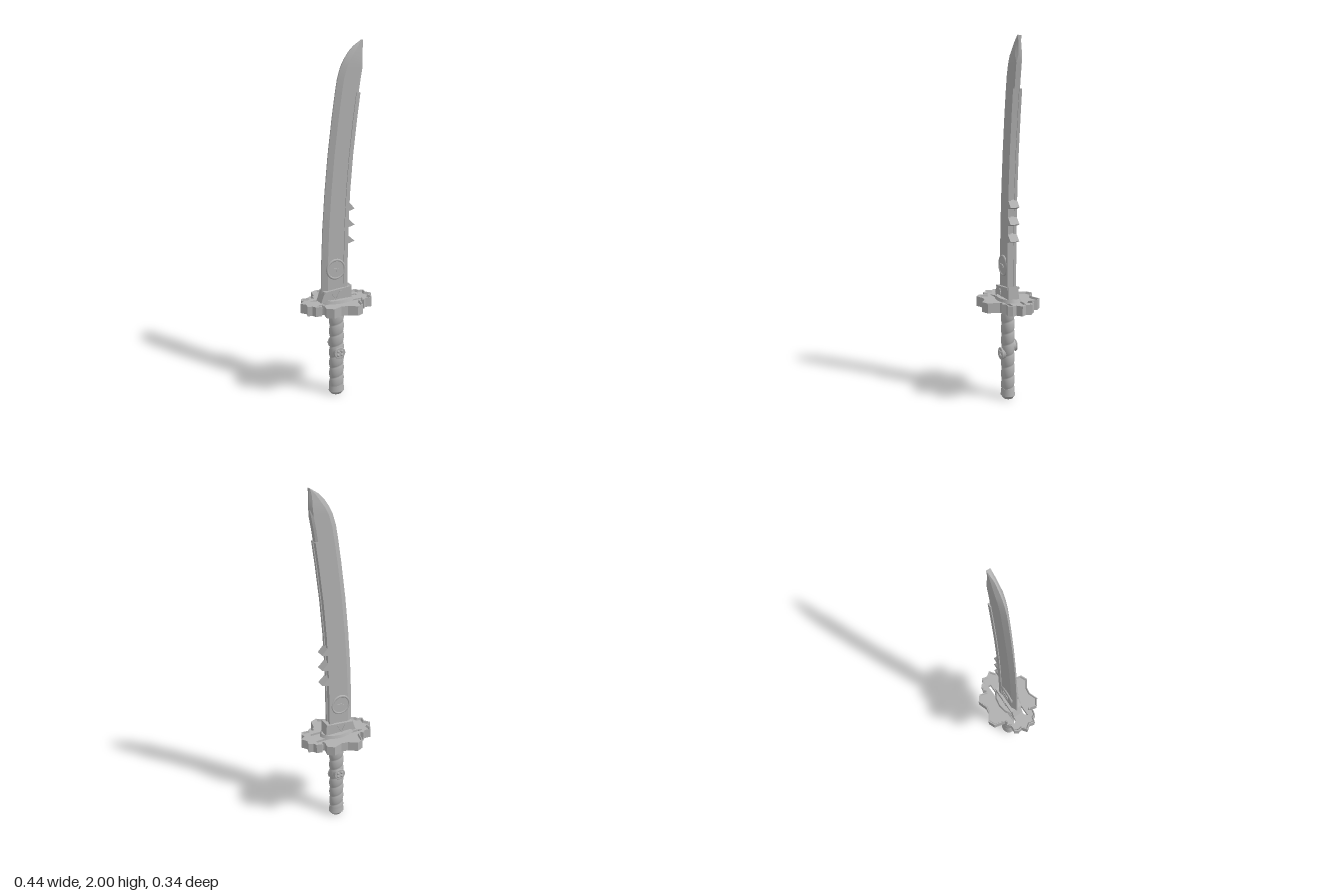
import * as THREE from 'three';
import { toCreasedNormals } from 'three/addons/utils/BufferGeometryUtils.js';

const steel = new THREE.MeshStandardMaterial({ color: 0xb0b0b0 });
steel.name = 'grey steel';

// Skin a stack of equal-length rings of [x, y, z] points, hard edged
function loft(rings, capped = true) {
  const n = rings[0].length, pos = [];
  const tri = (a, b, c) => pos.push(...a, ...b, ...c);
  for (let i = 0; i < rings.length - 1; i++) {
    for (let j = 0; j < n; j++) {
      const k = (j + 1) % n, lo = rings[i], hi = rings[i + 1];
      tri(lo[j], lo[k], hi[j]);
      tri(lo[k], hi[k], hi[j]);
    }
  }
  if (capped) {
    const bottom = rings[0], top = rings[rings.length - 1];
    for (let j = 1; j < n - 1; j++) {
      tri(bottom[0], bottom[j + 1], bottom[j]);
      tri(top[0], top[j], top[j + 1]);
    }
  }
  const g = new THREE.BufferGeometry();
  g.setAttribute('position', new THREE.Float32BufferAttribute(pos, 3));
  g.computeVertexNormals();
  return toCreasedNormals(g, 0.4);
}

function shapeOf(points) {
  return new THREE.Shape(points.map(([x, y]) => new THREE.Vector2(x, y)));
}

// Flat slab centred on z = 0 from an x-y outline
function slab(points, depth) {
  const g = new THREE.ExtrudeGeometry(shapeOf(points), { depth, bevelEnabled: false });
  return g.translate(0, 0, -depth / 2);
}

export function createModel() {
  const model = new THREE.Group();
  model.name = 'sword';
  const add = (name, geometry, parent = model) => {
    const mesh = new THREE.Mesh(geometry, steel);
    mesh.name = name;
    parent.add(mesh);
    return mesh;
  };

  // Blade: height, cutting edge x, spine x
  const rows = [
    [0.6, -0.095, 0.05], [0.8, -0.093, 0.052], [1, -0.085, 0.056], [1.2, -0.071, 0.066],
    [1.4, -0.052, 0.083], [1.6, -0.027, 0.107], [1.73, -0.008, 0.125], [1.8, 0.004, 0.136],
    [1.86, 0.022, 0.147], [1.9, 0.042, 0.152], [1.94, 0.07, 0.152], [1.97, 0.1, 0.152],
    [2, 0.147, 0.152],
  ];
  add('blade', loft(rows.map(([y, l, r]) => {
    const w = r - l, bevel = Math.min(0.03, w * 0.4), back = Math.min(0.012, w * 0.2);
    const t = y > 1.9 ? 0.021 - (y - 1.9) * 0.1 : 0.021;
    const s = y > 1.87 ? 0.006 : 0.015;
    return [[r, y, s], [r, y, -s], [r - back, y, -t], [l + bevel, y, -t],
      [l, y, -0.004], [l, y, 0.004], [l + bevel, y, t], [r - back, y, t]];
  })));

  // Grooved rail along the spine
  add('spineRail', loft(rows.slice(0, 7).map(([y, , r]) => [
    [r - 0.018, y, 0.026], [r + 0.005, y, 0.026], [r + 0.005, y, 0.01], [r - 0.004, y, 0.01],
    [r - 0.004, y, -0.01], [r + 0.005, y, -0.01], [r + 0.005, y, -0.026], [r - 0.018, y, -0.026],
  ])));

  // Three barbs on the spine
  [0.915, 1.008, 1.1].forEach((y, i) => {
    const x = 0.052 + i * 0.004;
    add('spineBarb', slab([[x, y - 0.012], [0.1, y], [x, y + 0.043]], 0.052));
  });

  // Round emblem on both faces of the blade, and a smaller one on the grip
  function emblem(name, radius, x, y, z, side) {
    const g = new THREE.Group();
    g.name = name;
    add('emblemRing', new THREE.TorusGeometry(radius * 0.88, radius * 0.12, 8, 32), g);
    add('emblemDisc', new THREE.CylinderGeometry(radius * 0.85, radius * 0.85, 0.008, 32).rotateX(Math.PI / 2), g);
    const star = slab([[-0.45, 0.15], [-0.1, -0.02], [0.08, -0.22], [0.14, -0.04], [0.45, -0.1],
      [0.12, 0.08], [0, 0.12]].map(([a, b]) => [a * radius, b * radius]), 0.008);
    add('emblemMark', star, g).position.z = 0.004;
    g.position.set(x, y, z * side);
    if (side < 0) g.rotation.y = Math.PI;
    model.add(g);
    return g;
  }
  for (const side of [1, -1]) {
    emblem('bladeEmblem', 0.06, -0.015, 0.765, 0.022, side);
    const y = side > 0 ? 0.265 : 0.305;
    const knot = emblem('gripEmblem', 0.035, 0, y, 0.043, side);
    add('emblemBase', new THREE.CylinderGeometry(0.03, 0.034, 0.02, 20).rotateX(Math.PI / 2), knot).position.z = -0.009;
    for (let i = 0; i < 4; i++) {
      const a = i * Math.PI / 2 + Math.PI / 4;
      add('emblemPetal', new THREE.SphereGeometry(0.009, 10, 6), knot)
        .position.set(Math.cos(a) * 0.016, Math.sin(a) * 0.016, 0.002);
    }
  }

  // Collar at the foot of the blade, with raised trim
  add('collar', slab([[-0.11, 0.58], [0.082, 0.58], [0.078, 0.662], [0.066, 0.655], [-0.088, 0.642]], 0.062));
  add('collarBand', slab([[-0.089, 0.63], [0.078, 0.645], [0.078, 0.657], [-0.087, 0.642]], 0.072));
  for (const [a, b] of [[-0.045, -0.018], [0.008, -0.018]]) {
    add('collarTrim', slab([[b - 0.005, 0.59], [b + 0.005, 0.59], [a + 0.005, 0.637], [a - 0.005, 0.637]]
      , 0.07));
  }

  // Guard outline: half of it, then the same turned half round
  const half = [
    [0.22, 0.008], [0.197, -0.022], [0.205, -0.055], [0.178, -0.063], [0.168, -0.083],
    [0.138, -0.09], [0.125, -0.072], [0.115, -0.082], [0.125, -0.125], [0.09, -0.153],
    [0.037, -0.134], [0, -0.14], [-0.047, -0.172], [-0.086, -0.155], [-0.1, -0.09],
    [-0.115, -0.08], [-0.127, -0.092], [-0.147, -0.073], [-0.185, -0.077], [-0.196, -0.055],
    [-0.19, -0.03],
  ];
  const outline = [...half, ...half.map(([x, z]) => [-x, -z])];
  const low = 0.53, high = 0.585, sunk = 0.012;
  const ring = (s, y) => outline.map(([x, z]) => [x * s, y, z * s]);
  add('guardRim', loft([ring(0.93, low + sunk), ring(0.965, low), ring(1, low),
    ring(1, high), ring(0.965, high), ring(0.93, high - sunk)], false));

  // Sunken guard plate with a slot on either side of the blade
  const plate = shapeOf(outline.map(([x, z]) => [x * 0.94, -z * 0.94]));
  for (const s of [1, -1]) {
    plate.holes.push(new THREE.Path([[-0.145, 0.048], [0.145, 0.048], [0.145, 0.031], [-0.125, 0.031]]
      .map(([x, y]) => new THREE.Vector2(x, y * s))));
  }
  const depth = high - low - 2 * sunk;
  add('guardPlate', new THREE.ExtrudeGeometry(plate, { depth, bevelEnabled: false })
    .rotateX(-Math.PI / 2).translate(0, low + sunk, 0));

  // Oval parts: seat above the guard, ferrule below, pommel
  function oval(name, top, bottom, y0, y1, depthRatio, sides) {
    const g = new THREE.CylinderGeometry(top, bottom, y1 - y0, sides);
    add(name, g.scale(1, 1, depthRatio).translate(0, (y0 + y1) / 2, 0));
  }
  oval('guardSeat', 0.095, 0.105, 0.57, 0.59, 0.63, 12);
  oval('ferrule', 0.05, 0.046, 0.502, 0.545, 0.85, 24);
  oval('pommel', 0.042, 0.047, 0.018, 0.06, 0.85, 24);
  oval('pommelCap', 0.047, 0.032, 0, 0.018, 0.85, 24);

  // Grip wound with a spiral wrap
  const grip = new THREE.CylinderGeometry(1, 1, 0.46, 32, 90, true).translate(0, 0.28, 0);
  const p = grip.attributes.position;
  for (let i = 0; i < p.count; i++) {
    const x = p.getX(i), y = p.getY(i), z = p.getZ(i);
    const turn = y / 0.065 + Math.atan2(z, x) / (2 * Math.PI);
    const r = 0.037 + 0.007 * Math.sqrt(Math.abs(Math.sin(Math.PI * turn)));
    p.setXYZ(i, x * r, y, z * r * 0.86);
  }
  grip.computeVertexNormals();
  add('grip', grip);

  return model;
}
